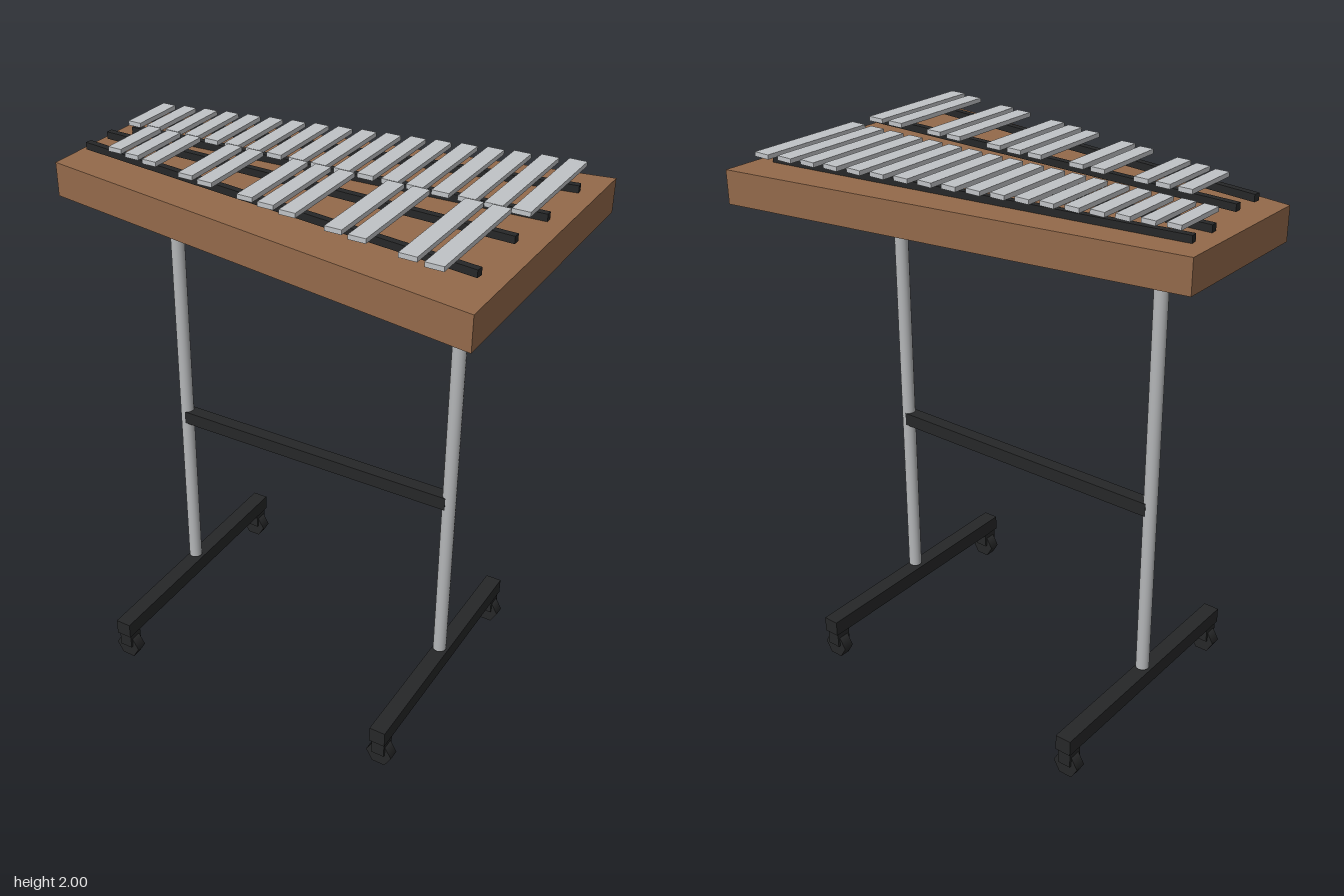
import * as THREE from 'three';

const mat = (name, color) => Object.assign(new THREE.MeshStandardMaterial({ color }), { name });

export function createModel() {
  const wood = mat('wood', 0x93694a);
  const barMetal = mat('bar metal', 0xc0c3c6);
  const tubeMetal = mat('tube metal', 0xb4b6b8);
  const black = mat('black', 0x262728);

  const model = new THREE.Group();
  model.name = 'keyboardPercussion';

  const add = (name, geometry, material, x, y, z, parent = model) => {
    const mesh = new THREE.Mesh(geometry, material);
    mesh.name = name;
    mesh.position.set(x, y, z);
    parent.add(mesh);
    return mesh;
  };
  // Box given by its centre in x and z and its bottom and top heights
  const box = (name, material, x, z, w, d, y0, y1, parent) =>
    add(name, new THREE.BoxGeometry(w, y1 - y0, d), material, x, (y0 + y1) / 2, z, parent);

  // Tapered wooden body
  const outline = new THREE.Shape([
    new THREE.Vector2(-0.83, -0.285), new THREE.Vector2(0.83, -0.545),
    new THREE.Vector2(0.83, 0.545), new THREE.Vector2(-0.83, 0.285),
  ]);
  const bodyGeo = new THREE.ExtrudeGeometry(outline, { depth: 0.12, bevelEnabled: false });
  bodyGeo.rotateX(-Math.PI / 2);
  add('body', bodyGeo, wood, 0, 1.8, 0);

  // Slanted support rails, front pair raised above the back pair
  for (const side of [-1, 1]) {
    const y0 = side > 0 ? 1.947 : 1.92;
    for (const [zNarrow, zWide] of [[0.068, 0.125], [0.181, 0.379]]) {
      const dz = side * (zWide - zNarrow);
      const rail = box('rail', black, 0, side * (zNarrow + zWide) / 2,
        Math.hypot(1.535, dz), 0.024, y0, y0 + 0.025);
      rail.rotation.y = -Math.atan2(dz, 1.535);
    }
  }

  // Sounding bars: spacing, width and length grow along the keyboard
  const barX = (i) => -0.727 + 0.0783 * i + 0.00039 * i * i;
  const barWidth = (i) => 0.05 + 0.0007 * i;
  for (let i = 0; i < 18; i++) {
    const length = 0.207 + 0.015 * i;
    box('naturalBar', barMetal, barX(i), -0.021 - length / 2, barWidth(i), length, 1.966, 1.982);
  }
  for (const n of [1, 2, 3, 5, 6, 8, 9, 10, 12, 13, 15, 16]) {
    const i = n + 0.5;
    const length = 0.222 + 0.0154 * (i - 1.5);
    box('accidentalBar', barMetal, barX(i), 0.019 + length / 2, barWidth(i), length, 1.984, 2);
  }

  // Stand cross members
  box('upperCrossbar', black, 0, 0, 1.1, 0.05, 1.76, 1.8);
  box('middleCrossbar', black, 0, 0, 1.1, 0.05, 0.83, 0.88);

  // Legs, feet and hexagonal casters
  const legGeo = new THREE.CylinderGeometry(0.025, 0.025, 1.62, 16);
  const wheelGeo = new THREE.CylinderGeometry(0.05, 0.05, 0.042, 6);
  wheelGeo.rotateY(Math.PI / 2);
  wheelGeo.rotateX(Math.PI / 2);
  for (const side of [-1, 1]) {
    const stand = new THREE.Group();
    stand.name = side > 0 ? 'leftStand' : 'rightStand';
    stand.position.x = side * 0.555;
    model.add(stand);
    add('leg', legGeo, tubeMetal, 0, 0.99, 0, stand);
    box('foot', black, 0, 0, 0.06, 0.98, 0.11, 0.17, stand);
    for (const end of [-1, 1]) {
      box('casterFork', black, 0, end * 0.452, 0.05, 0.06, 0.05, 0.11, stand);
      add('casterWheel', wheelGeo, black, 0, 0.0433, end * 0.452, stand);
    }
  }
  return model;
}
